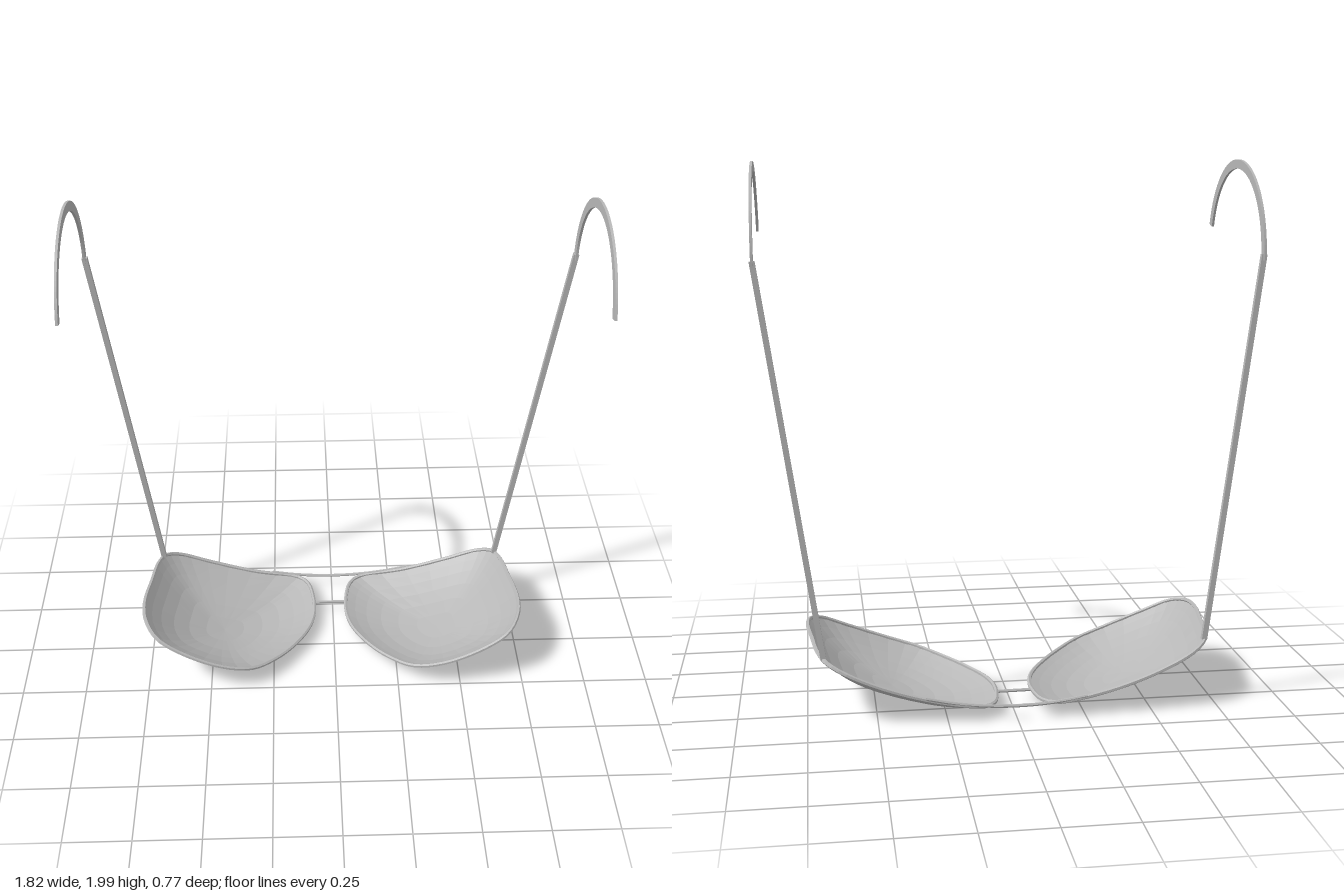
import * as THREE from 'three';

// Lens outline seen from above, as [x, z] for the left (+x) side
const OUTLINE = [
  [0.13, -0.378], [0.088, -0.34], [0.066, -0.25], [0.064, -0.145], [0.088, -0.05],
  [0.15, 0.06], [0.23, 0.155], [0.325, 0.23], [0.45, 0.255], [0.61, 0.24],
  [0.7, 0.205], [0.748, 0.12], [0.758, 0.02], [0.742, -0.12], [0.722, -0.26],
  [0.695, -0.325], [0.64, -0.362], [0.51, -0.378], [0.32, -0.382],
];
const CENTRE = new THREE.Vector2(0.42, -0.06);

// The whole front wraps along this curve
const wrapHeight = (x) => 0.05 + 0.385 * x * x;

function rimCurve(side, inset = 0.988) {
  const points = OUTLINE.map(([px, pz]) => {
    const x = CENTRE.x + (px - CENTRE.x) * inset;
    const z = CENTRE.y + (pz - CENTRE.y) * inset;
    return new THREE.Vector3(side * x, wrapHeight(x), z);
  });
  return new THREE.CatmullRomCurve3(points, true);
}

// Dished lens: concentric rings shrinking to the centre, bulging down and outward
function lensGeometry(side) {
  const SEGMENTS = 36, RINGS = 7;
  const edge = rimCurve(1).getPoints(SEGMENTS);
  const positions = [], index = [];
  for (let r = 0; r <= RINGS; r++) {
    const t = Math.sin((r / RINGS) * Math.PI / 2);
    const bulge = 0.082 * (1 - Math.pow(t, 2.5));
    for (let i = 0; i < SEGMENTS; i++) {
      const x = CENTRE.x + (edge[i].x - CENTRE.x) * t;
      const z = CENTRE.y + (edge[i].z - CENTRE.y) * t;
      positions.push(side * (x + bulge * 0.3), wrapHeight(x) - bulge * 0.95, z);
    }
  }
  for (let r = 0; r < RINGS; r++) {
    for (let i = 0; i < SEGMENTS; i++) {
      const j = (i + 1) % SEGMENTS;
      const a = r * SEGMENTS + i, b = r * SEGMENTS + j;
      const c = a + SEGMENTS, d = b + SEGMENTS;
      const quad = side > 0 ? [a, c, d, a, d, b] : [a, d, c, a, b, d];
      index.push(...(r === 0 ? quad.slice(0, 3) : quad));
    }
  }
  const geometry = new THREE.BufferGeometry();
  geometry.setAttribute('position', new THREE.Float32BufferAttribute(positions, 3));
  geometry.setIndex(index);
  geometry.computeVertexNormals();
  return geometry;
}

// Curved ear hook: a flat arc band standing in the y-z plane
function hookGeometry() {
  const start = THREE.MathUtils.degToRad(17), end = Math.PI * 1.01;
  const shape = new THREE.Shape();
  shape.absarc(0, 0, 0.35, start, end, false);
  shape.absarc(0, 0, 0.316, end, start, true);
  const geometry = new THREE.ExtrudeGeometry(shape, { depth: 0.009, bevelEnabled: false, curveSegments: 28 });
  geometry.translate(0, 0, -0.0045);
  geometry.rotateY(-Math.PI / 2);
  return geometry;
}

export function createModel() {
  const model = new THREE.Group();
  model.name = 'eyeglasses';
  const grey = new THREE.MeshStandardMaterial({ color: 0xb8b8b8, flatShading: true, side: THREE.DoubleSide });
  grey.name = 'grey';

  const add = (name, geometry) => {
    const mesh = new THREE.Mesh(geometry, grey);
    mesh.name = name;
    model.add(mesh);
    return mesh;
  };

  for (const side of [1, -1]) {
    const label = side > 0 ? 'left' : 'right';
    add(label + 'Lens', lensGeometry(side));
    add(label + 'Rim', new THREE.TubeGeometry(rimCurve(side), 76, 0.008, 6, true));

    // Straight temple arm, splaying outward
    const foot = new THREE.Vector3(side * 0.7, 0.24, -0.302);
    const tip = new THREE.Vector3(side * 0.9, 1.655, -0.285);
    const arm = add(label + 'Temple', new THREE.BoxGeometry(0.02, foot.distanceTo(tip), 0.018));
    arm.position.copy(foot).add(tip).multiplyScalar(0.5);
    arm.quaternion.setFromUnitVectors(new THREE.Vector3(0, 1, 0), tip.clone().sub(foot).normalize());

    const hook = add(label + 'EarHook', hookGeometry());
    hook.position.set(side * 0.9, 1.645, 0.048);
  }

  // Brow bar following the wrap of the rims
  const brow = [];
  for (let i = 0; i <= 6; i++) {
    const x = -0.245 + (0.585 * i) / 6;
    brow.push(new THREE.Vector3(x, wrapHeight(x) + 0.006, -0.384));
  }
  add('browBar', new THREE.TubeGeometry(new THREE.CatmullRomCurve3(brow), 24, 0.006, 6, false));

  // Short bridge between the lenses
  const bridge = add('bridge', new THREE.CylinderGeometry(0.006, 0.006, 0.14, 6));
  bridge.rotation.z = Math.PI / 2;
  bridge.position.set(0, wrapHeight(0.03), -0.215);

  // The glasses rest with a very slight lean
  model.rotation.z = -0.007;
  model.position.x = -0.0125;
  const root = new THREE.Group();
  root.name = 'glasses';
  root.add(model);
  return root;
}
